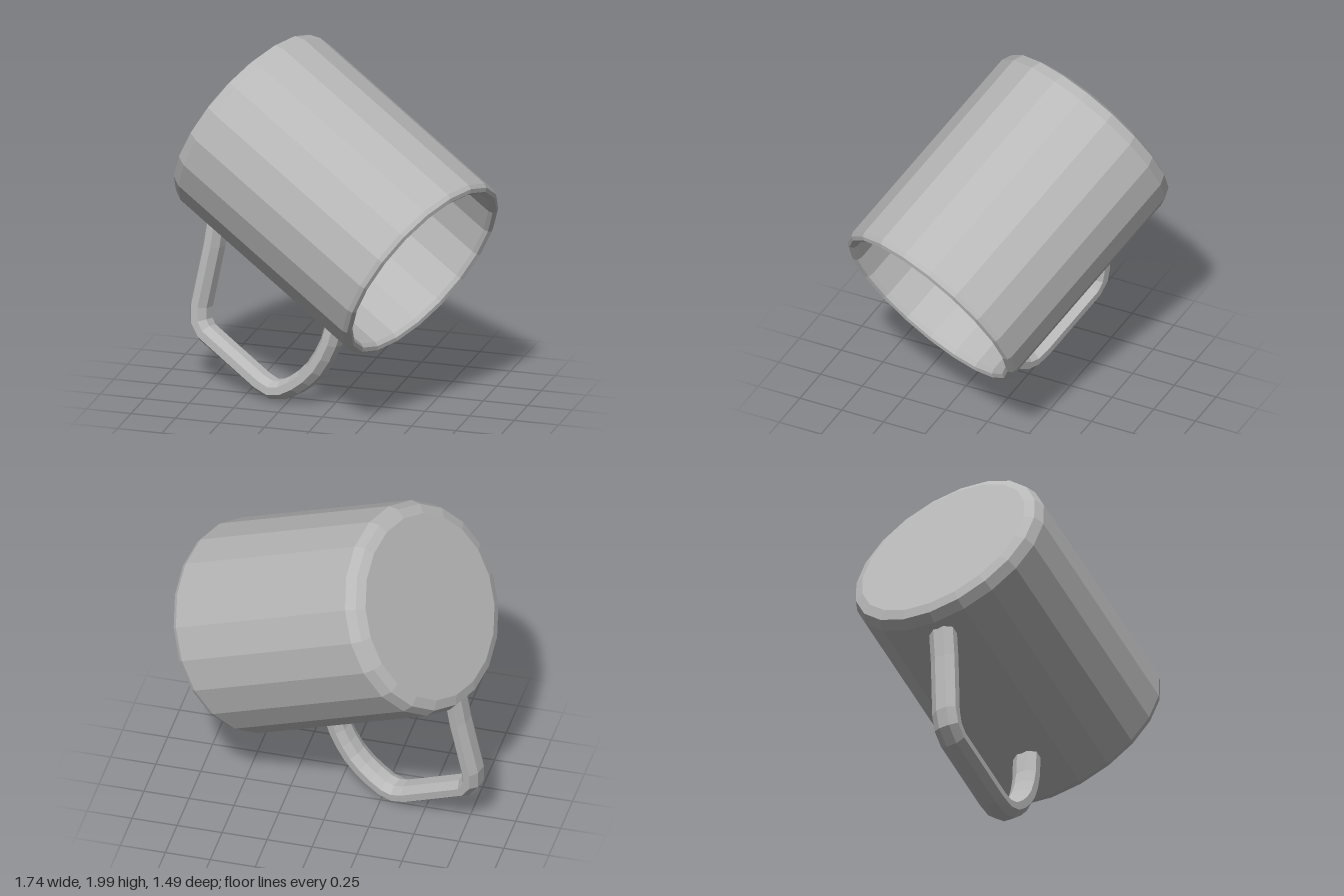
import * as THREE from 'three';

const SIDES = 20;

// Facet a geometry by giving each triangle its own normals
function faceted(geometry) {
  const g = geometry.index ? geometry.toNonIndexed() : geometry;
  g.computeVertexNormals();
  return g;
}

// Sweep an oval section along a path lying in the local XY plane
function sweepOval(path, inPlane, across, sides) {
  const positions = [];
  const index = [];
  path.forEach((p, i) => {
    const before = path[Math.max(i - 1, 0)];
    const after = path[Math.min(i + 1, path.length - 1)];
    const t = after.clone().sub(before).normalize();
    for (let j = 0; j < sides; j++) {
      const angle = ((j + 0.5) / sides) * Math.PI * 2;
      const n = Math.cos(angle) * inPlane;
      positions.push(p.x - t.y * n, p.y + t.x * n, Math.sin(angle) * across);
      if (i === path.length - 1) continue;
      const k = (j + 1) % sides;
      const a = i * sides;
      const b = a + sides;
      index.push(a + j, a + k, b + j, a + k, b + k, b + j);
    }
  });
  const g = new THREE.BufferGeometry();
  g.setAttribute('position', new THREE.Float32BufferAttribute(positions, 3));
  g.setIndex(index);
  return faceted(g);
}

export function createModel() {
  const group = new THREE.Group();
  group.name = 'mug';
  const grey = new THREE.MeshStandardMaterial({ color: 0xb8b8b8 });
  grey.name = 'grey';

  // Tilted mug: local Y runs from base to rim, local X towards the handle
  const mug = new THREE.Group();
  mug.name = 'tiltedMug';
  const axis = new THREE.Vector3(0.828, -0.472, 0.302).normalize();
  const out = new THREE.Vector3(-0.486, -0.874, -0.035);
  out.addScaledVector(axis, -out.dot(axis)).normalize();
  const side = new THREE.Vector3().crossVectors(out, axis);
  mug.quaternion.setFromRotationMatrix(new THREE.Matrix4().makeBasis(out, axis, side));
  mug.position.set(0, 1.1875, 0);
  group.add(mug);

  // Cup wall: rounded base, outer side, rounded rim, inner side and floor
  const profile = [
    [0, -0.70], [0.505, -0.70], [0.558, -0.678], [0.582, -0.62],
    [0.582, 0.635], [0.573, 0.66], [0.552, 0.67], [0.531, 0.66], [0.522, 0.635],
    [0.522, -0.47], [0.49, -0.54], [0.42, -0.57], [0, -0.57],
  ].map(([r, y]) => new THREE.Vector2(r, y));
  const cup = new THREE.Mesh(faceted(new THREE.LatheGeometry(profile, SIDES, Math.PI / 2)), grey);
  cup.name = 'cup';
  mug.add(cup);

  // Handle: [distance from axis, height along axis], base end first
  const path = [
    [0.54, -0.539], [0.727, -0.461], [1.056, -0.346], [1.128, -0.3],
    [1.16, -0.235], [1.163, 0.19], [1.15, 0.268], [1.105, 0.325], [1.035, 0.368],
    [0.96, 0.4], [0.88, 0.42], [0.79, 0.424], [0.699, 0.416], [0.54, 0.375],
  ].map(([r, y]) => new THREE.Vector2(r, y));
  const handle = new THREE.Mesh(sweepOval(path, 0.056, 0.08, 8), grey);
  handle.name = 'handle';
  mug.add(handle);

  return group;
}
